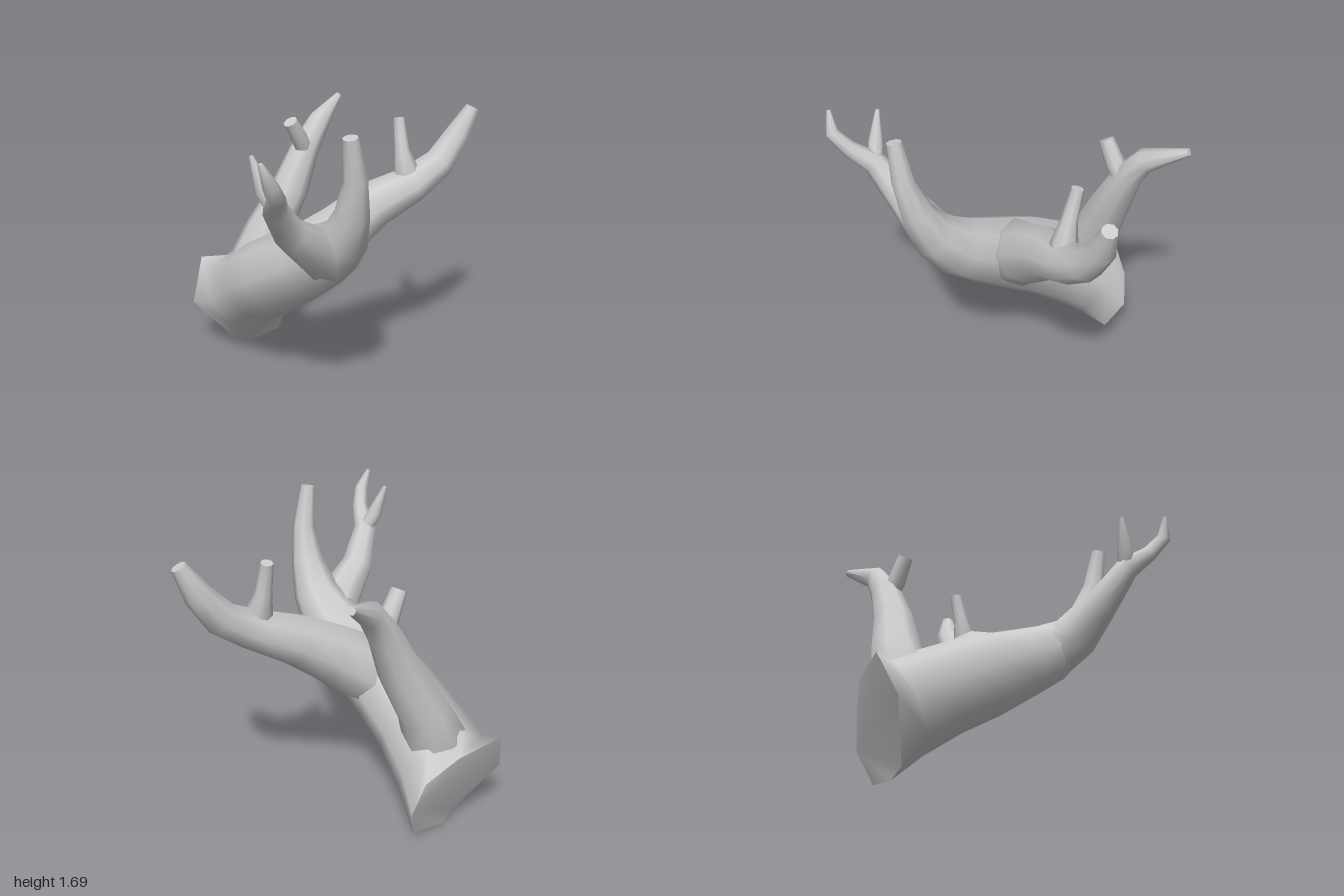
import * as THREE from 'three';

const SIDES = 8;
const material = new THREE.MeshStandardMaterial({ color: 0xcccccc, side: THREE.DoubleSide });

// Tapering limb: a loft of rings along stations [x, y, z, radius], closed at both ends.
// An optional firstRing gives the corners of an irregular cut end.
function limb(name, stations, firstRing = []) {
  const centres = stations.map(([x, y, z]) => new THREE.Vector3(x, y, z));
  const n = centres.length;
  const rings = firstRing.length ? 1 : 0;
  const positions = firstRing.flat(), index = [];
  const u = new THREE.Vector3(1, 0, -1).normalize();
  for (let i = 0; i < n; i++) {
    const t = new THREE.Vector3()
      .subVectors(centres[Math.min(i + 1, n - 1)], centres[Math.max(i - 1, 0)]).normalize();
    u.addScaledVector(t, -u.dot(t)).normalize();
    const v = new THREE.Vector3().crossVectors(t, u);
    for (let j = 0; j < SIDES; j++) {
      const a = (j / SIDES) * Math.PI * 2;
      const p = centres[i].clone()
        .addScaledVector(u, Math.cos(a) * stations[i][3])
        .addScaledVector(v, Math.sin(a) * stations[i][3]);
      positions.push(p.x, p.y, p.z);
    }
  }
  const last = n + rings - 1;
  for (let i = 0; i < last; i++) {
    for (let j = 0; j < SIDES; j++) {
      const a = i * SIDES + j, b = i * SIDES + (j + 1) % SIDES;
      index.push(a, b, b + SIDES, a, b + SIDES, a + SIDES);
    }
  }
  // End caps get their own vertices so that their edges stay sharp
  for (const end of [0, last]) {
    const start = positions.length / 3;
    positions.push(...positions.slice(end * SIDES * 3, (end + 1) * SIDES * 3));
    for (let j = 1; j < SIDES - 1; j++) {
      if (end === 0) index.push(start, start + j + 1, start + j);
      else index.push(start, start + j, start + j + 1);
    }
  }
  const geometry = new THREE.BufferGeometry();
  geometry.setAttribute('position', new THREE.Float32BufferAttribute(positions, 3));
  geometry.setIndex(index);
  geometry.computeVertexNormals();
  const mesh = new THREE.Mesh(geometry, material);
  mesh.name = name;
  return mesh;
}

export function createModel() {
  const model = new THREE.Group();
  model.name = 'branch';
  model.add(
    // Thick stem with a rough cut end, running on into the upright branch
    limb('trunk', [
      [-0.52, 0.4, -0.46, 0.275], [-0.4, 0.54, -0.26, 0.25],
      [-0.26, 0.67, -0.08, 0.24], [-0.05, 0.83, 0.1, 0.205], [0.09, 0.95, 0.25, 0.175],
      [0.18, 1.08, 0.37, 0.135], [0.23, 1.25, 0.45, 0.095], [0.25, 1.45, 0.51, 0.065],
      [0.225, 1.68, 0.55, 0.042],
    ], [
      [-0.35, 0.24, -0.74], [-0.42, 0.43, -0.73], [-0.6, 0.55, -0.66], [-0.84, 0.58, -0.5],
      [-0.87, 0.32, -0.365], [-0.61, 0.05, -0.41], [-0.55, 0, -0.48], [-0.37, 0.04, -0.63],
    ]),

    // Rear branch, flared where it leaves the stem, with a blunt twig
    limb('backBranch', [
      [-0.5, 0.38, -0.4, 0.17], [-0.49, 0.55, -0.46, 0.18], [-0.41, 0.77, -0.53, 0.145],
      [-0.27, 1.05, -0.6, 0.118], [-0.19, 1.28, -0.68, 0.09], [-0.11, 1.44, -0.77, 0.07],
      [-0.02, 1.55, -0.985, 0.022],
    ]),
    limb('backTwig', [
      [-0.18, 1.23, -0.67, 0.05], [-0.21, 1.35, -0.61, 0.055], [-0.26, 1.475, -0.55, 0.045],
    ]),

    // Side branch, flared where it leaves the stem, with an upright twig
    limb('sideBranch', [
      [-0.22, 0.7, -0.04, 0.17], [-0.07, 0.81, -0.08, 0.2], [0.1, 0.93, -0.14, 0.175],
      [0.27, 1.06, -0.26, 0.15], [0.5, 1.17, -0.36, 0.117], [0.65, 1.28, -0.46, 0.096],
      [0.75, 1.44, -0.53, 0.076], [0.83, 1.6, -0.555, 0.042],
    ]),
    limb('sideTwig', [
      [0.48, 1.16, -0.34, 0.06], [0.46, 1.26, -0.345, 0.075], [0.43, 1.38, -0.365, 0.045],
      [0.405, 1.56, -0.4, 0.034],
    ]),

    // Thin front branch splitting into two pointed tips
    limb('frontBranch', [
      [0.02, 0.84, 0.12, 0.13], [0.07, 0.94, 0.27, 0.155], [0.04, 1.02, 0.42, 0.13],
      [-0.07, 1.17, 0.59, 0.093], [-0.12, 1.35, 0.74, 0.068], [-0.09, 1.45, 0.87, 0.046],
      [-0.1, 1.54, 0.96, 0.04], [-0.145, 1.655, 0.975, 0.012],
    ]),
    limb('frontTwig', [
      [-0.11, 1.33, 0.73, 0.045], [-0.18, 1.45, 0.735, 0.045], [-0.24, 1.62, 0.725, 0.012],
    ]),
  );
  return model;
}
